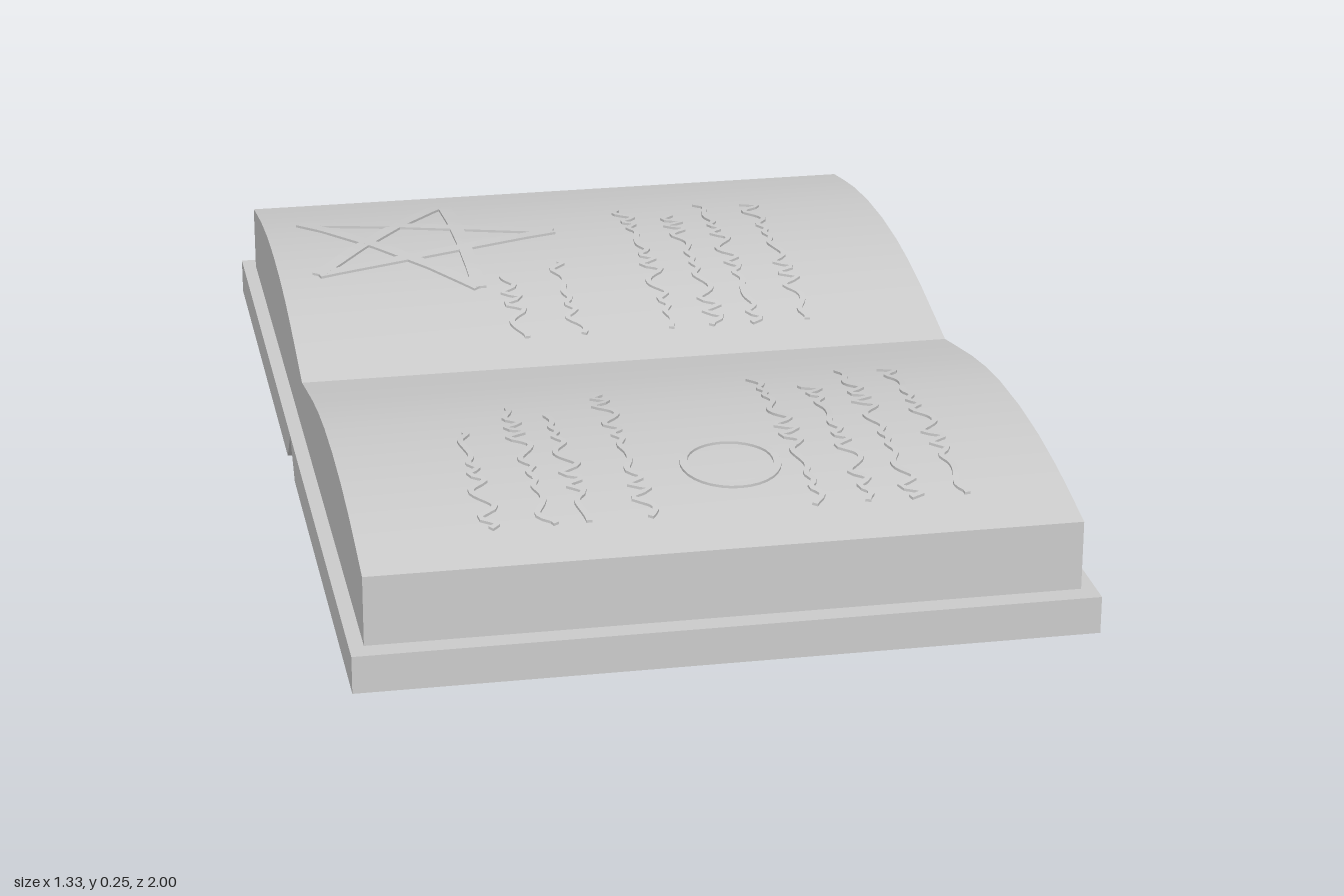
import * as THREE from 'three';
import { toCreasedNormals } from 'three/addons/utils/BufferGeometryUtils.js';

const material = new THREE.MeshStandardMaterial({ color: 0xcccccc });

// Height of the open page at distances from the gutter
const PAGE = [[0, 0.178], [0.07, 0.193], [0.2, 0.22], [0.3, 0.236], [0.4, 0.246], [0.53, 0.25],
  [0.66, 0.245], [0.78, 0.232], [0.87, 0.217], [0.96, 0.2]];

function pageHeight(z) {
  const d = Math.min(Math.abs(z), 0.959);
  const i = PAGE.findIndex((p) => p[0] > d);
  const [z0, y0] = PAGE[i - 1], [z1, y1] = PAGE[i];
  return y0 + (y1 - y0) * (d - z0) / (z1 - z0);
}

// Extrude a (z, y) profile across the width of the book
function slab(name, profile, width) {
  const shape = new THREE.Shape(profile.map(([z, y]) => new THREE.Vector2(z, y)));
  const geometry = new THREE.ExtrudeGeometry(shape, { depth: width, bevelEnabled: false });
  geometry.translate(0, 0, -width / 2).rotateY(Math.PI / 2);
  const mesh = new THREE.Mesh(toCreasedNormals(geometry, 0.2), material);
  mesh.name = name;
  return mesh;
}

// Raised stroke following an (x, z) path over the curved page
function stroke(name, path, width, rise = 0.005) {
  const positions = [], index = [], h = width / 2, last = path.length - 1;
  path.forEach(([x, z], i) => {
    const p = path[Math.max(i - 1, 0)], q = path[Math.min(i + 1, last)];
    const length = Math.hypot(q[0] - p[0], q[1] - p[1]);
    const nx = (q[1] - p[1]) / length * h, nz = -(q[0] - p[0]) / length * h;
    for (const [side, lift] of [[1, -0.006], [1, rise], [-1, rise], [-1, -0.006]]) {
      const pz = z + side * nz;
      positions.push(x + side * nx, pageHeight(pz) + lift, pz);
    }
    if (i < last) {
      for (let k = 0; k < 4; k++) {
        const a = i * 4 + k, b = i * 4 + (k + 1) % 4;
        index.push(a, b, a + 4, b, b + 4, a + 4);
      }
    }
  });
  const e = last * 4;
  index.push(0, 2, 1, 0, 3, 2, e, e + 1, e + 2, e, e + 2, e + 3);
  const geometry = new THREE.BufferGeometry();
  geometry.setAttribute('position', new THREE.Float32BufferAttribute(positions, 3));
  geometry.setIndex(index);
  const mesh = new THREE.Mesh(toCreasedNormals(geometry, 0.4), material);
  mesh.name = name;
  return mesh;
}

// Uneven squiggle running along z
function scribble(x, z0, z1, seed) {
  const n = Math.ceil(Math.abs(z1 - z0) / 0.01);
  const path = [];
  for (let i = 0; i <= n; i++) {
    const s = i * 0.01;
    const swing = 0.011 + 0.007 * Math.sin(s * 17 + seed * 2.3);
    path.push([x + swing * Math.sin(s * 95 + 1.5 * Math.sin(s * 31 + seed)), z0 + (z1 - z0) * i / n]);
  }
  return stroke('writingLine', path, 0.011);
}

export function createModel() {
  const book = new THREE.Group();
  book.name = 'openBook';

  // Cover with a V-shaped groove under the spine
  book.add(slab('cover', [[-1, 0], [-0.065, 0], [0, 0.069], [0.065, 0], [1, 0], [1, 0.07], [-1, 0.07]], 1.333));

  // Two arched page stacks meeting at the gutter
  const right = PAGE.slice().reverse();
  const left = PAGE.slice(1).map(([z, y]) => [-z, y]);
  book.add(slab('pages', [[-0.96, 0.07], [0.96, 0.07], ...right, ...left], 1.28));

  // Lines of writing: x, start z, end z
  const writing = new THREE.Group();
  writing.name = 'writing';
  const lines = [
    [-0.40, 0.85, 0.48], [-0.30, 0.85, 0.36], [-0.23, 0.85, 0.42], [-0.12, 0.85, 0.32],
    [0.19, 0.85, 0.28], [0.28, 0.85, 0.35], [0.36, 0.85, 0.26], [0.45, 0.85, 0.27],
    [-0.19, -0.10, -0.34], [-0.08, -0.10, -0.39],
    [0.11, -0.10, -0.68], [0.20, -0.10, -0.62], [0.28, -0.10, -0.69], [0.38, -0.10, -0.67],
  ];
  lines.forEach(([x, z0, z1], i) => writing.add(scribble(x, z0, z1, i)));
  book.add(writing);

  // Five-pointed star drawn on the back page
  const star = new THREE.Group();
  star.name = 'star';
  const tip = (k) => [-0.335 + 0.28 * Math.cos(k * Math.PI * 0.4), -0.565 + 0.28 * Math.sin(k * Math.PI * 0.4)];
  for (let k = 0; k < 5; k++) {
    const a = tip(k), b = tip(k + 2), path = [];
    for (let i = 0; i <= 16; i++) {
      path.push([a[0] + (b[0] - a[0]) * i / 16, a[1] + (b[1] - a[1]) * i / 16]);
    }
    star.add(stroke('starBar', path, 0.028));
  }
  book.add(star);

  // Small circle drawn on the front page
  const circle = [];
  for (let i = 0; i <= 32; i++) {
    const t = i / 32 * Math.PI * 2;
    circle.push([0.06 + 0.085 * Math.cos(t), 0.685 + 0.085 * Math.sin(t)]);
  }
  book.add(stroke('circle', circle, 0.014));
  return book;
}
